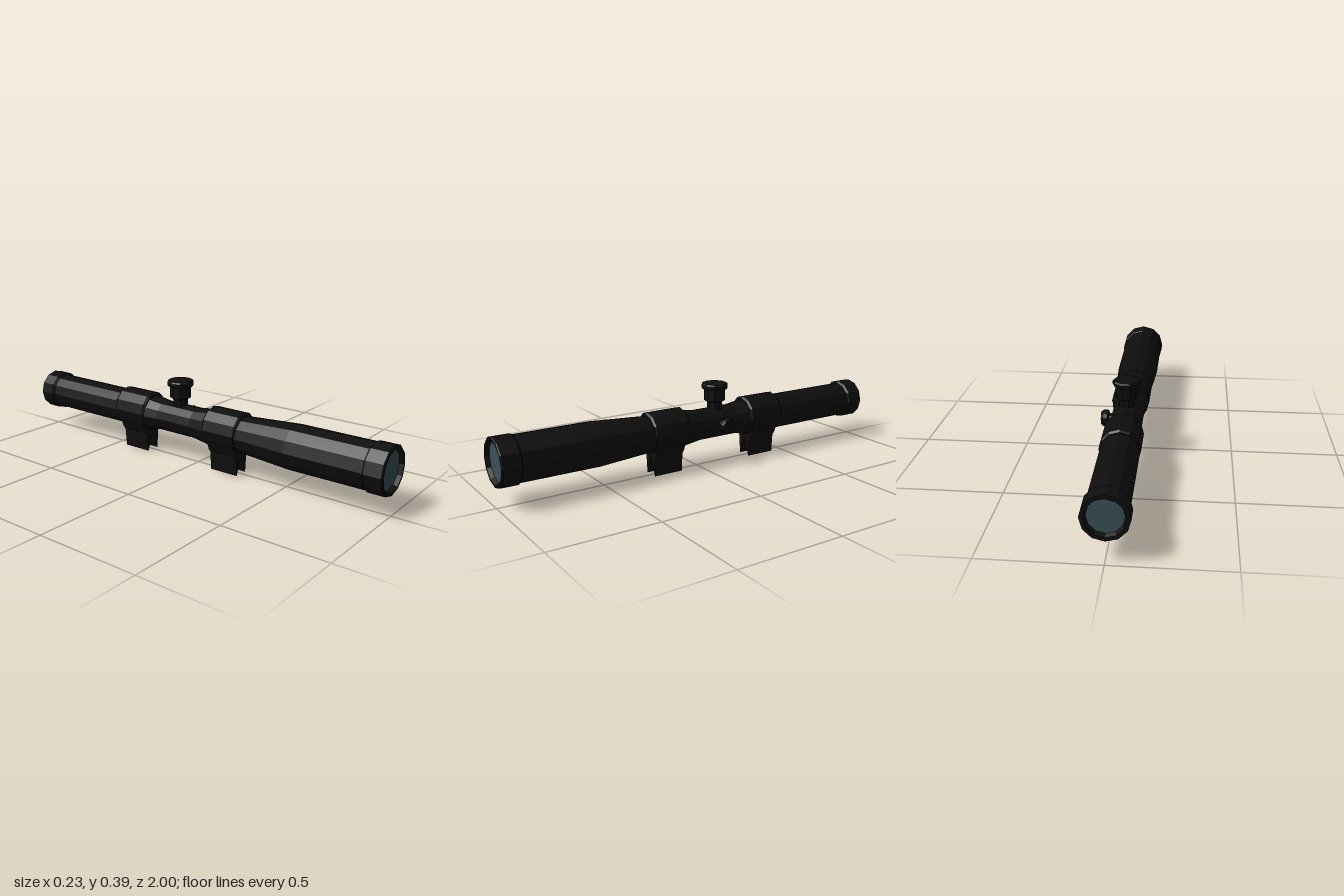
import * as THREE from 'three';

const black = new THREE.MeshStandardMaterial({ color: 0x0e0e0e });
black.name = 'matte black';
const glass = new THREE.MeshStandardMaterial({ color: 0x3b5157 });
glass.name = 'lens glass';

const CX = -0.004; // tube axis
const CY = 0.2;

// Faceted mesh: every face gets its own normal
function part(name, geometry, material = black) {
  const g = geometry.index ? geometry.toNonIndexed() : geometry;
  g.computeVertexNormals();
  const mesh = new THREE.Mesh(g, material);
  mesh.name = name;
  return mesh;
}

// Turned solid from [radius, height] pairs, lowest first
function turned(points, sides) {
  return new THREE.LatheGeometry(points.map(([r, h]) => new THREE.Vector2(r, h)), sides, Math.PI / 2);
}

export function createModel() {
  const model = new THREE.Group();
  model.name = 'scope';

  // Main tube with both recessed end collars, from rear to front
  const tube = part('tube', turned([
    [0.073, -0.98], [0.08, -1], [0.097, -1], [0.097, -0.925], [0.087, -0.915],
    [0.087, -0.285], [0.075, -0.2], [0.075, 0], [0.087, 0.085], [0.087, 0.27],
    [0.105, 0.54], [0.105, 0.91], [0.111, 0.915], [0.111, 0.995], [0.106, 1],
    [0.097, 1], [0.09, 0.98],
  ], 12).rotateX(Math.PI / 2));
  tube.position.set(CX, CY, 0);
  model.add(tube);

  // Lenses
  const frontLens = part('frontLens', new THREE.CircleGeometry(0.0905, 12), glass);
  frontLens.position.set(CX, CY, 0.981);
  const rearLens = part('rearLens', new THREE.CircleGeometry(0.0735, 12).rotateY(Math.PI), glass);
  rearLens.position.set(CX, CY, -0.981);
  model.add(frontLens, rearLens);

  // Mounting rings with forked feet
  const foot = new THREE.Shape([
    [-0.075, 0.15], [-0.056, 0.105], [-0.044, 0.09], [-0.037, 0], [-0.003, 0.086],
    [0.032, 0], [0.038, 0.09], [0.05, 0.105], [0.069, 0.15],
  ].map(([x, y]) => new THREE.Vector2(x, y)));
  for (const [side, z] of [['front', 0.178], ['rear', -0.367]]) {
    const mount = new THREE.Group();
    mount.name = side + 'Mount';
    const ring = part('mountRing', turned([
      [0.07, -0.096], [0.087, -0.096], [0.096, -0.086], [0.096, 0.086], [0.087, 0.096], [0.07, 0.096],
    ], 12).rotateX(Math.PI / 2));
    ring.scale.x = 0.95;
    ring.position.set(CX, 0.206, 0);
    const feet = part('mountFoot', new THREE.ExtrudeGeometry(foot, { depth: 0.148, bevelEnabled: false }));
    feet.position.z = -0.074;
    mount.add(ring, feet);
    mount.position.z = z;
    model.add(mount);
  }

  // Top adjustment turret
  const turret = part('topTurret', turned([
    [0.037, 0.25], [0.037, 0.302], [0.052, 0.312], [0.052, 0.366], [0.06, 0.366],
    [0.065, 0.374], [0.065, 0.386], [0.059, 0.393], [0, 0.393],
  ], 10));
  turret.position.set(-0.003, 0, -0.108);
  model.add(turret);

  // Side adjustment knob, pointing left
  const knob = part('sideKnob', turned([
    [0.024, 0.05], [0.024, 0.077], [0.034, 0.079], [0.04, 0.086], [0.04, 0.104],
    [0.031, 0.115], [0, 0.115],
  ], 10).rotateZ(-Math.PI / 2));
  knob.position.set(0, CY + 0.001, -0.11);
  model.add(knob);

  return model;
}
